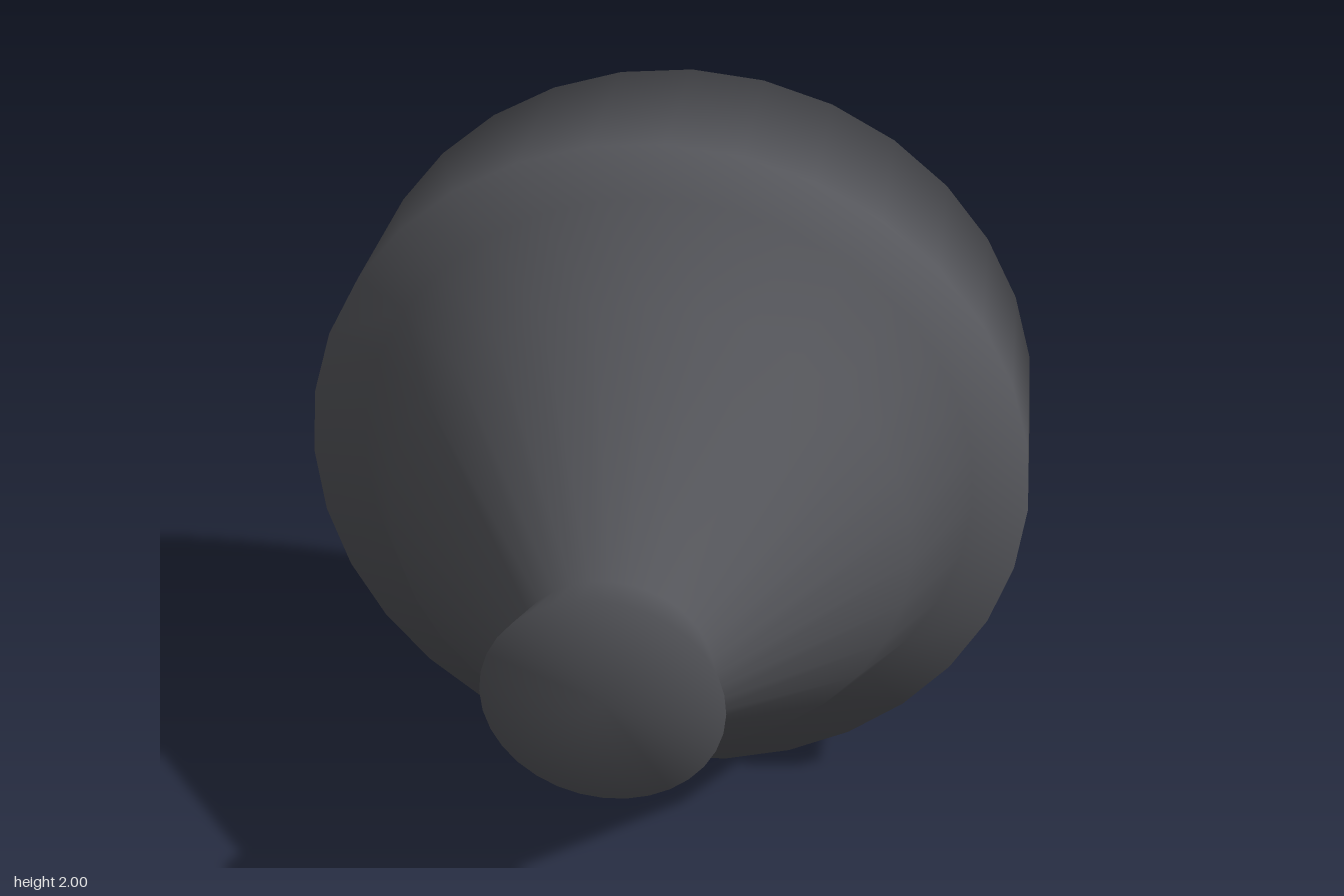
import * as THREE from 'three';

export function createModel() {
  const group = new THREE.Group();
  group.name = 'flaredKnob';

  const darkGrey = new THREE.MeshStandardMaterial({ color: 0x55565b });
  darkGrey.name = 'darkGrey';

  // Profile as [radius, z], from the back centre to the front centre
  const profile = [
    [0, -0.75],    // back plate
    [1, -0.75],    // wide rim
    [1, -0.25],
    [0.85, -0.25], // step to the cone
    [0.7, 0.05],
    [0.25, 0.6],   // neck
    [0.3, 0.75],   // flared tip
    [0, 0.75],
  ].map(([r, z]) => new THREE.Vector2(r, z));

  // One smooth turned body, its axis laid along z
  const geometry = new THREE.LatheGeometry(profile, 32);
  geometry.rotateX(Math.PI / 2);
  geometry.translate(0, 1, 0);

  const body = new THREE.Mesh(geometry, darkGrey);
  body.name = 'turnedBody';
  group.add(body);

  return group;
}
